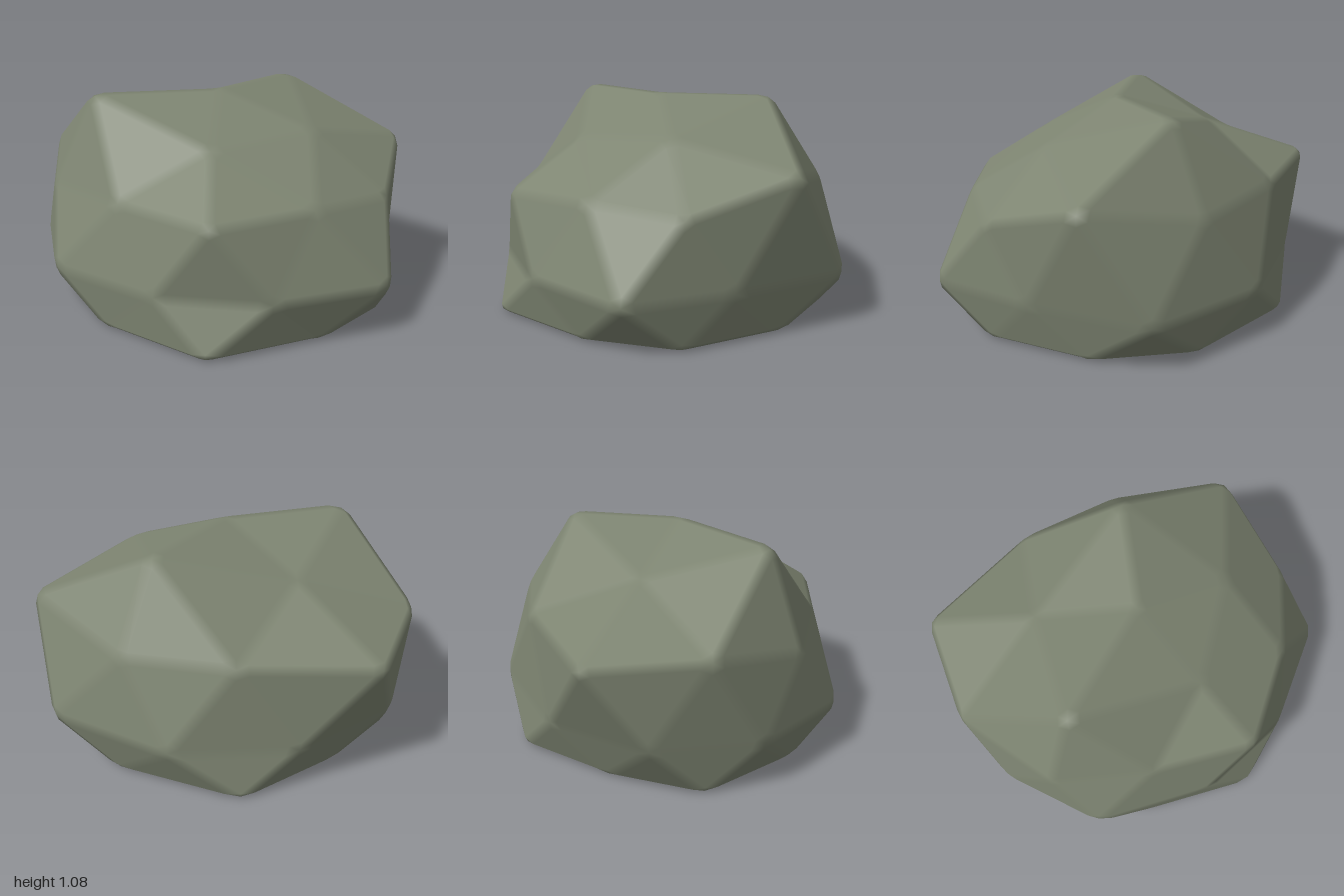
import * as THREE from 'three';

const BEVEL = 0.03;
const toVectors = (rows) => rows.map((r) => new THREE.Vector3(...r));

// Rings of corners, each running from +x through +z
const crown = toVectors([
  [0.51, 0.92, 0.05], [0.13, 0.88, 0.47], [-0.56, 1.09, 0.39], [-0.45, 0.92, -0.22], [0.2, 1.09, -0.51],
]);
const shoulder = toVectors([
  [0.91, 0.62, 0.04], [0.66, 0.65, 0.46], [0.27, 0.63, 0.83], [-0.26, 0.64, 0.71], [-0.74, 0.62, 0.51],
  [-1.01, 0.73, 0.03], [-0.95, 0.7, -0.55], [-0.3, 0.71, -0.76], [0.27, 0.67, -0.77], [0.85, 0.79, -0.51],
]);
const waist = toVectors([
  [1.01, 0.26, 0.34], [0.55, 0.26, 0.73], [0, 0.26, 0.87], [-0.61, 0.26, 0.75], [-0.94, 0.26, 0.3],
  [-0.97, 0.28, -0.25], [-0.6, 0.26, -0.69], [0, 0.26, -0.91], [0.66, 0.26, -0.79], [0.88, 0.26, -0.2],
]);
const base = toVectors([
  [0.9, 0, 0.05], [0.71, 0, 0.5], [0.28, 0, 0.91], [-0.3, 0, 0.79], [-0.67, 0, 0.5],
  [-0.92, 0, 0.02], [-0.7, 0, -0.42], [-0.35, 0, -0.83], [0.31, 0, -0.79], [0.73, 0, -0.45],
]);
const top = new THREE.Vector3(0, 1.09, 0.04);
const bottom = new THREE.Vector3(0, 0, 0);

// Triangular facets between neighbouring rings
function buildFacets() {
  const facets = [];
  const at = (ring, i) => ring[(i + ring.length) % ring.length];
  for (let j = 0; j < 5; j++) {
    const p = crown[j], q = at(crown, j + 1);
    const left = at(shoulder, 2 * j + 1), mid = shoulder[2 * j], right = at(shoulder, 2 * j - 1);
    facets.push([top, q, p], [p, q, left], [p, left, mid], [p, mid, right]);
  }
  for (let k = 0; k < 10; k++) {
    const w = waist[k], prev = at(waist, k - 1);
    facets.push([shoulder[k], at(shoulder, k + 1), w], [shoulder[k], w, prev]);
    facets.push([base[k], w, at(base, k + 1)], [base[k], prev, w]);
    facets.push([bottom, base[k], at(base, k + 1)]);
  }
  return facets;
}

// Shrinks every facet, then joins them with narrow strips and corner caps
function bevelledGeometry(facets) {
  const positions = [], normals = [];
  const tri = (...corners) => {
    for (const c of corners) {
      positions.push(c.p.x, c.p.y, c.p.z);
      normals.push(c.n.x, c.n.y, c.n.z);
    }
  };
  // corner vertex -> (next vertex along the facet -> inset corner)
  const corners = new Map();
  for (const f of facets) {
    const n = new THREE.Triangle(...f).getNormal(new THREE.Vector3());
    const inset = f.map((v, i) => {
      const a = f[(i + 1) % 3].clone().sub(v).normalize();
      const b = f[(i + 2) % 3].clone().sub(v).normalize();
      const sine = a.clone().cross(b).length();
      return { p: a.add(b).multiplyScalar(BEVEL / sine).add(v), n };
    });
    tri(...inset);
    f.forEach((v, i) => {
      if (!corners.has(v)) corners.set(v, new Map());
      corners.get(v).set(f[(i + 1) % 3], { c: inset[i], end: inset[(i + 1) % 3], last: f[(i + 2) % 3] });
    });
  }
  const done = new Set();
  for (const [v, fan] of corners) {
    // Strips along the edges
    for (const [w, edge] of fan) {
      if (done.has(w)) continue;
      const other = corners.get(w).get(v);
      tri(edge.end, edge.c, other.end);
      tri(edge.end, other.end, other.c);
    }
    done.add(v);
    // Cap over the corner
    const loop = [];
    let key = fan.keys().next().value;
    for (let i = 0; i < fan.size; i++) {
      const e = fan.get(key);
      loop.push(e.c);
      key = e.last;
    }
    const centre = { p: new THREE.Vector3(), n: new THREE.Vector3() };
    for (const c of loop) {
      centre.p.addScaledVector(c.p, 1 / loop.length);
      centre.n.add(c.n);
    }
    centre.n.normalize();
    centre.p.lerp(v, 0.4);
    loop.forEach((c, i) => tri(centre, c, loop[(i + 1) % loop.length]));
  }
  const geometry = new THREE.BufferGeometry();
  geometry.setAttribute('position', new THREE.Float32BufferAttribute(positions, 3));
  geometry.setAttribute('normal', new THREE.Float32BufferAttribute(normals, 3));
  return geometry;
}

export function createModel() {
  const group = new THREE.Group();
  group.name = 'rock';
  const boulder = new THREE.Mesh(
    bevelledGeometry(buildFacets()),
    new THREE.MeshStandardMaterial({ color: 0x7d8471 }),
  );
  boulder.name = 'boulder';
  group.add(boulder);
  return group;
}
